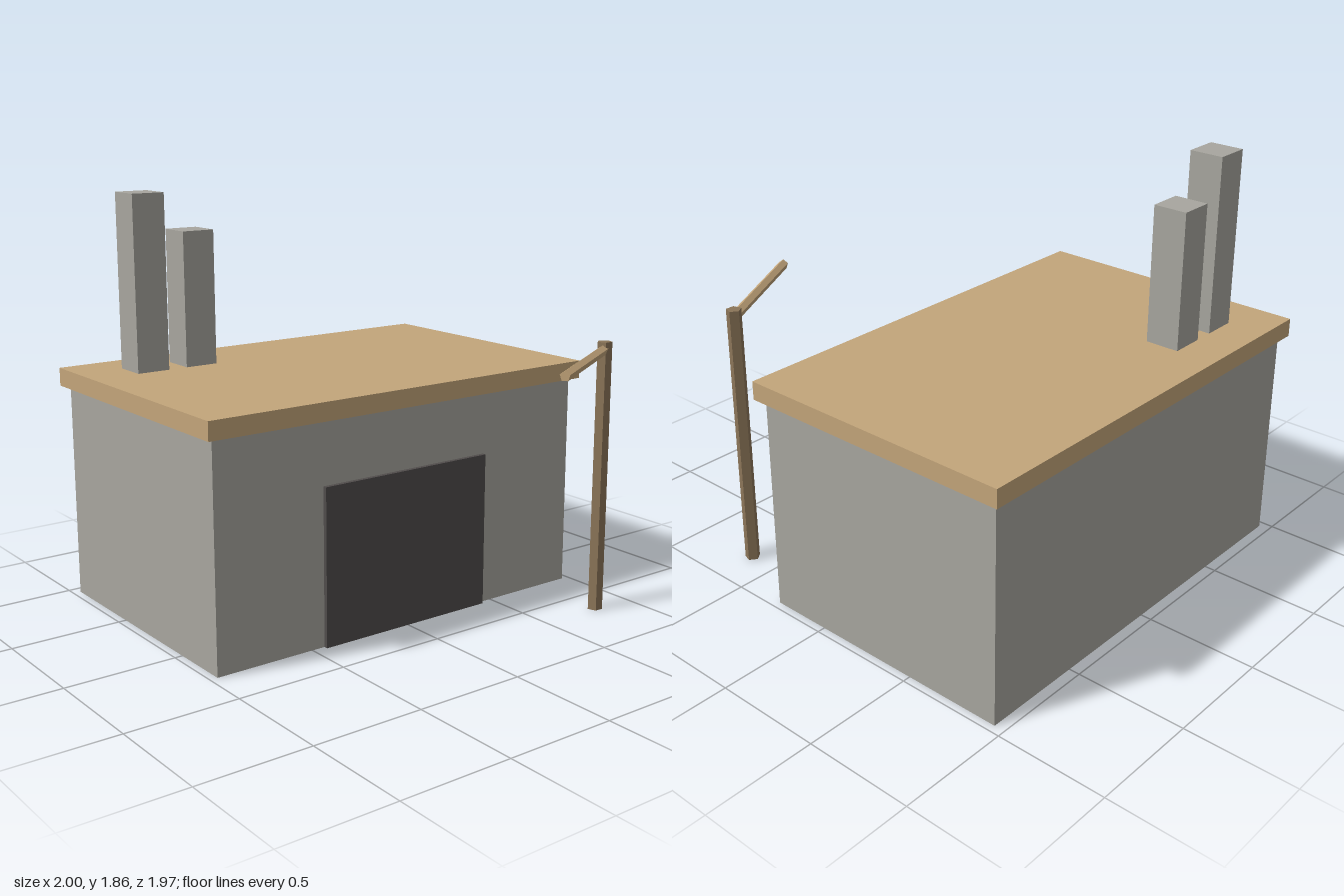
import * as THREE from 'three';

const material = (name, color) => {
  const m = new THREE.MeshStandardMaterial({ color, flatShading: true });
  m.name = name;
  return m;
};

export function createModel() {
  const stone = material('stone grey', 0xa8a69f);
  const tan = material('tan wood', 0xc3a57a);
  const brown = material('brown wood', 0x8b7558);
  const dark = material('dark grey', 0x504c4b);

  const model = new THREE.Group();
  model.name = 'forgeBuilding';

  const add = (name, geometry, mat) => {
    const mesh = new THREE.Mesh(geometry, mat);
    mesh.name = name;
    model.add(mesh);
    return mesh;
  };

  // Box given by its minimum and maximum corners
  const box = (name, mat, [x0, y0, z0], [x1, y1, z1]) =>
    add(name, new THREE.BoxGeometry(x1 - x0, y1 - y0, z1 - z0), mat)
      .position.set((x0 + x1) / 2, (y0 + y1) / 2, (z0 + z1) / 2);

  // Building, flat roof and doorway
  box('walls', stone, [-0.965, 0, -0.951], [0.965, 0.988, 0.281]);
  box('roof', tan, [-1, 0.988, -0.984], [1, 1.07, 0.316]);
  box('doorway', dark, [-0.438, 0, 0.27], [0.438, 0.706, 0.3]);

  // Chimneys of two heights
  for (const [name, x, top] of [['tallChimney', -0.703, 1.861], ['shortChimney', -0.457, 1.684]]) {
    box(name, stone, [x - 0.078, 1.07, -0.802], [x + 0.078, top, -0.646]);
  }

  // Five-sided post standing in front
  const postX = 0.803, postZ = 0.652;
  const post = add('post', new THREE.CylinderGeometry(0.034, 0.034, 1.23, 5), brown);
  post.rotation.y = Math.PI;
  post.position.set(postX, 0.615, postZ);

  // Five-sided arm with a ridge on top, reaching out from the post
  const endX = 0.25, endZ = 0.965;
  const length = Math.hypot(endX - postX, endZ - postZ);
  const arm = add('arm', new THREE.CylinderGeometry(0.023, 0.023, length, 5).rotateX(-Math.PI / 2), tan);
  arm.rotation.y = Math.atan2(endX - postX, endZ - postZ);
  arm.position.set((postX + endX) / 2, 1.195, (postZ + endZ) / 2);

  return model;
}
